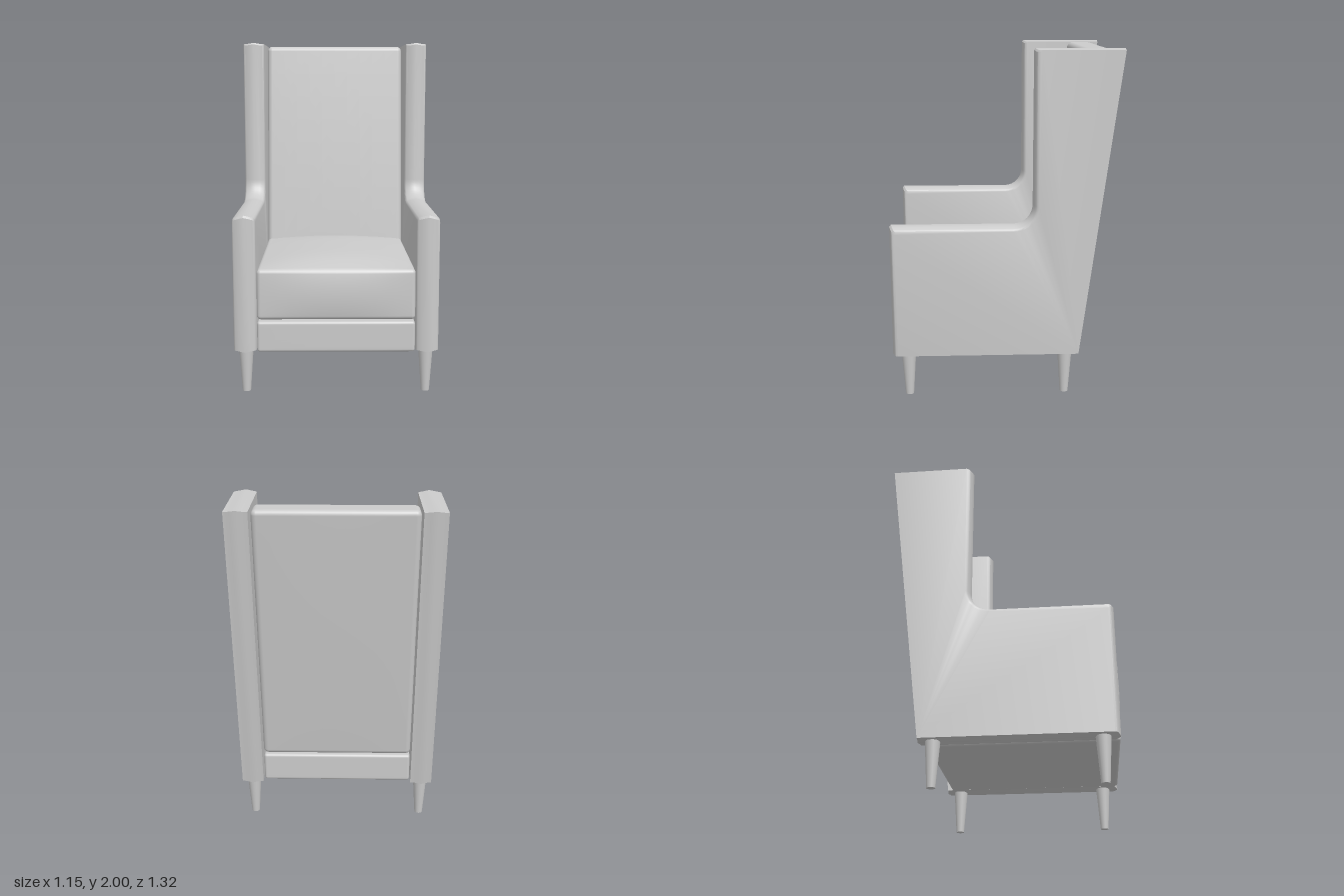
import * as THREE from 'three';
import { mergeVertices, toCreasedNormals } from 'three/addons/utils/BufferGeometryUtils.js';

const material = new THREE.MeshStandardMaterial({ color: 0xcccccc });

function addMesh(group, name, geometry, x = 0, y = 0, z = 0) {
  const mesh = new THREE.Mesh(geometry, material);
  mesh.name = name;
  mesh.position.set(x, y, z);
  group.add(mesh);
  return mesh;
}

// Soft box: rounded edges, then an optional rule that moves each vertex.
function softBox(w, h, d, r, rule) {
  const n = 18, k = 4;
  const geo = new THREE.BoxGeometry(w, h, d, n, n, n);
  geo.deleteAttribute('uv');
  geo.deleteAttribute('normal');
  const pos = geo.attributes.position;
  const half = new THREE.Vector3(w / 2, h / 2, d / 2);
  const lim = half.clone().subScalar(r);
  // Crowd the grid lines towards the rounded edges
  const remap = (v, a) => {
    const i = Math.round((v / a + 1) * n / 2);
    if (i <= k) return -a + r * (i / k);
    if (i >= n - k) return a - r * ((n - i) / k);
    return (a - r) * ((i - k) / (n - 2 * k) * 2 - 1);
  };
  const p = new THREE.Vector3(), core = new THREE.Vector3();
  for (let i = 0; i < pos.count; i++) {
    p.fromBufferAttribute(pos, i);
    p.set(remap(p.x, half.x), remap(p.y, half.y), remap(p.z, half.z));
    core.copy(p).clamp(lim.clone().negate(), lim);
    p.sub(core).setLength(r).add(core);
    if (rule) rule(p, p.x / half.x, p.y / half.y, p.z / half.z);
    pos.setXYZ(i, p.x, p.y, p.z);
  }
  const merged = mergeVertices(geo, 1e-5);
  merged.computeVertexNormals();
  return merged;
}

// Outline of an arm with its wing as (z, y) points, drawn in by d along the front.
function sideOutline(d) {
  const e = Math.min(d, 0.012) * 0.6;
  const pts = [[0.642 - d, 0.25 + e], [0.642 - d, 1.015 - d], [0.632 - d, 1.027 - d]];
  for (let i = 0; i <= 10; i++) {
    const a = -Math.PI / 2 - (i / 10) * Math.PI / 2;
    const r = 0.11 + d;
    pts.push([-0.055 + r * Math.cos(a), 1.137 + r * Math.sin(a)]);
  }
  pts.push([-0.165 - d, 1.99 - e], [-0.173 - d, 2 - e], [-0.662 + e, 2 - e], [-0.442 + e, 0.25 + e]);
  return pts.map(([z, y]) => new THREE.Vector2(z, y));
}

// Side panel lofted across its thickness, with a crested front edge.
function sidePanel() {
  const layers = [[-0.064, 0.032], [-0.061, 0.023], [-0.053, 0.016], [-0.03, 0.008], [0, 0],
    [0.03, 0.008], [0.053, 0.016], [0.061, 0.023], [0.064, 0.032]];
  const verts = [], index = [];
  const outlines = layers.map(([, d]) => sideOutline(d));
  const n = outlines[0].length, last = (layers.length - 1) * n;
  layers.forEach(([x], l) => outlines[l].forEach((p) => verts.push(x, p.y, p.x)));
  for (let l = 0; l < layers.length - 1; l++) {
    for (let j = 0; j < n; j++) {
      const a = l * n + j, b = l * n + (j + 1) % n;
      index.push(a, a + n, b, b, a + n, b + n);
    }
  }
  for (const [a, b, c] of THREE.ShapeUtils.triangulateShape(outlines[0], [])) {
    index.push(a, b, c, last + a, last + c, last + b);
  }
  const geo = new THREE.BufferGeometry();
  geo.setAttribute('position', new THREE.Float32BufferAttribute(verts, 3));
  geo.setIndex(index);
  return toCreasedNormals(geo, 0.6);
}

export function createModel() {
  const chair = new THREE.Group();
  chair.name = 'wingChair';
  const swell = (u, power = 2) => 1 - Math.min(1, Math.abs(u)) ** power;

  // Arms with wings
  const panel = sidePanel();
  addMesh(chair, 'leftSide', panel, 0.512, 0, 0);
  addMesh(chair, 'rightSide', panel, -0.512, 0, 0);

  // Seat base, sagging slightly underneath
  addMesh(chair, 'seatBase', softBox(0.885, 0.175, 1.05, 0.016, (p, u, v, w) => {
    if (v < 0) p.y += 0.013 * v * swell(u) * swell(w, 4);
  }), 0, 0.34, 0.117);

  // Seat cushion, crowned on top and bulging at the front
  addMesh(chair, 'seatCushion', softBox(0.885, 0.285, 1.035, 0.022, (p, u, v, w) => {
    if (v > 0) p.y += 0.046 * v * swell(u) * swell(w, 4);
    if (w > 0) p.z += 0.016 * w * swell(u) * swell(v);
  }), 0, 0.582, 0.129);

  // Back cushion, leaning backwards
  addMesh(chair, 'backCushion', softBox(0.885, 1.55, 0.155, 0.03, (p, u, v, w) => {
    p.z += 0.006 * w * swell(u) * swell(v) - 0.125 * p.y;
  }), 0, 1.215, -0.437);

  // Tapered legs
  const leg = new THREE.CylinderGeometry(0.042, 0.024, 0.255, 20);
  for (const x of [-0.512, 0.512]) {
    for (const z of [0.55, -0.36]) {
      addMesh(chair, z > 0 ? 'frontLeg' : 'backLeg', leg, x, 0.1275, z);
    }
  }
  return chair;
}
